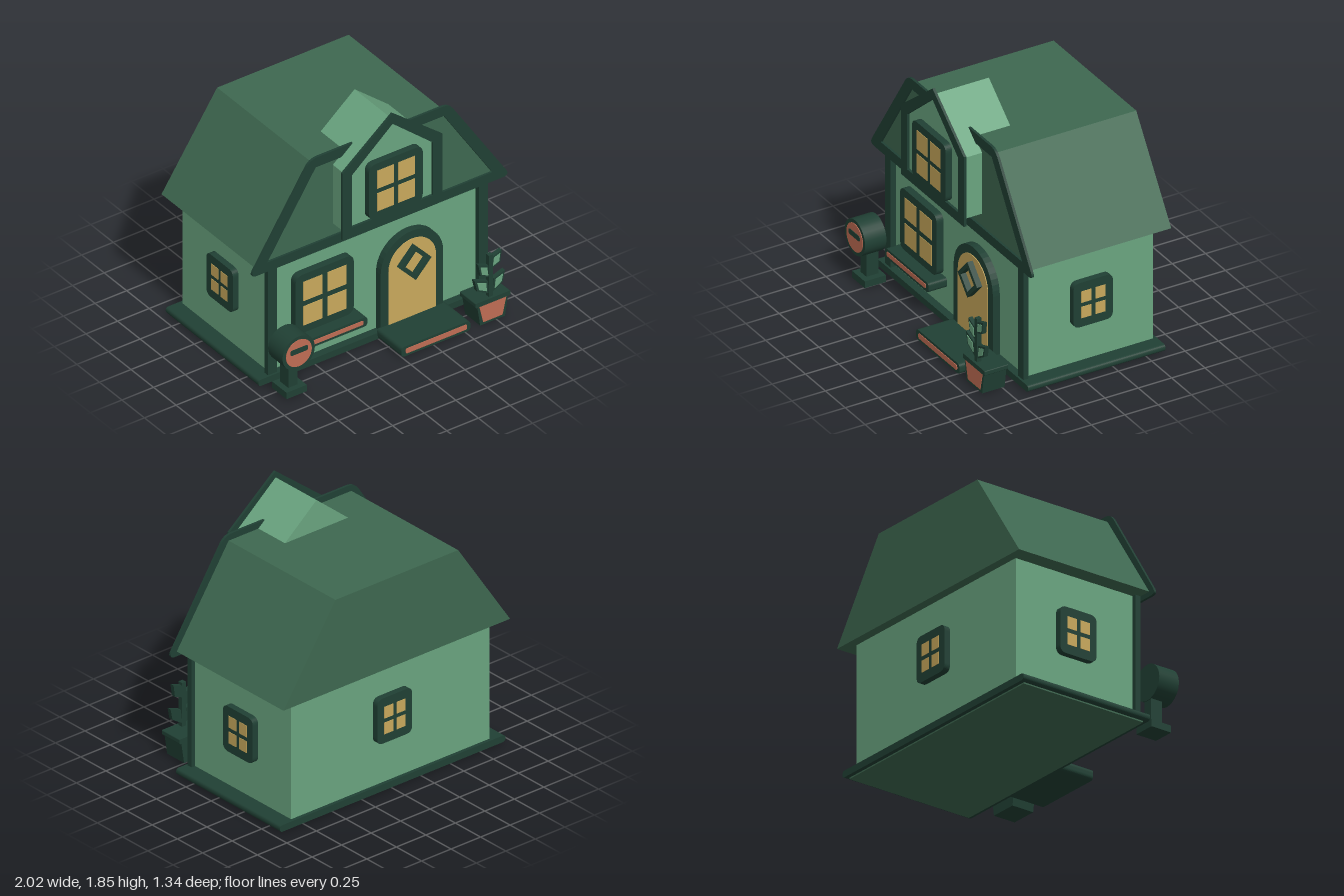
import * as THREE from 'three';

const mat = (name, color) => {
  const m = new THREE.MeshStandardMaterial({ color });
  m.name = name;
  return m;
};

export function createModel() {
  const wall = mat('wall green', 0x6aa580);
  const roofGreen = mat('roof green', 0x3e6850);
  const trim = mat('dark trim green', 0x204034);
  const glow = mat('warm yellow', 0xc9a95c);
  const clay = mat('clay red', 0xc06d54);

  const house = new THREE.Group();
  house.name = 'cottage';

  const add = (name, geometry, material, parent = house) => {
    const mesh = new THREE.Mesh(geometry, material);
    mesh.name = name;
    parent.add(mesh);
    return mesh;
  };
  // Box given by its limits on each axis
  const box = (name, x0, x1, y0, y1, z0, z1, material, parent) =>
    add(name, new THREE.BoxGeometry(x1 - x0, y1 - y0, z1 - z0)
      .translate((x0 + x1) / 2, (y0 + y1) / 2, (z0 + z1) / 2), material, parent);
  // Outline pushed from z0 to z1
  const slab = (name, shape, z0, z1, material, parent) =>
    add(name, new THREE.ExtrudeGeometry(shape, { depth: z1 - z0, bevelEnabled: false, curveSegments: 10 })
      .translate(0, 0, z0), material, parent);
  // Closed polygon whose corners are cut back by r and rounded
  const poly = (points, r = 0) => {
    const s = new THREE.Shape();
    const p = points.map(([x, y]) => new THREE.Vector2(x, y));
    p.forEach((c, i) => {
      const toward = (q) => c.clone().add(q.clone().sub(c).setLength(r));
      const a = r ? toward(p[(i + p.length - 1) % p.length]) : c;
      if (i) s.lineTo(a.x, a.y); else s.moveTo(a.x, a.y);
      if (r) {
        const b = toward(p[(i + 1) % p.length]);
        s.quadraticCurveTo(c.x, c.y, b.x, b.y);
      }
    });
    s.closePath();
    return s;
  };
  const rect = (x0, x1, y0, y1, r) => poly([[x0, y0], [x1, y0], [x1, y1], [x0, y1]], r);
  const trapezoid = (bottom, top, y0, y1) => [[-bottom, y0], [bottom, y0], [top, y1], [-top, y1]];
  const gable = (w, y0, eaves, apex) => [[-w, y0], [w, y0], [w, eaves], [0, apex], [-w, eaves]];
  const framed = (outer, inner) => {
    outer.holes.push(inner);
    return outer;
  };

  // Foundation, base and walls
  box('foundation', -0.92, 0.92, 0, 0.02, -0.6, 0.37, roofGreen);
  slab('base', rect(-0.955, 0.955, 0.01, 0.058, 0.024), -0.63, 0.4, trim);
  box('walls', -0.84, 0.84, 0.05, 0.925, -0.605, 0.345, wall);
  for (const s of [-1, 1]) {
    box('cornerPost', s * 0.835 - 0.035, s * 0.835 + 0.035, 0.05, 0.92, 0.345, 0.385, trim);
  }

  // Main roof with front trim
  slab('roof', poly(trapezoid(0.96, 0.52, 0.92, 1.577)), -0.67, 0.39, roofGreen);
  slab('roofTrim', framed(poly(trapezoid(1.03, 0.55, 0.885, 1.622), 0.06),
    poly(trapezoid(0.89, 0.507, 0.957, 1.547))), 0.388, 0.406, trim);

  // Dormer
  slab('dormer', poly(gable(0.36, 1.045, 1.5, 1.8)), 0.125, 0.53, wall);
  slab('dormerTrim', framed(poly(gable(0.395, 1.01, 1.53, 1.845)),
    poly(gable(0.32, 1.083, 1.492, 1.765))), 0.53, 0.548, trim);

  // Four-pane window facing +z, back on z = 0
  const makeWindow = (name, w, h, paneW, paneH, bar, depth, r = 0.06) => {
    const g = new THREE.Group();
    g.name = name;
    slab('windowFrame', rect(-w / 2, w / 2, -h / 2, h / 2, r), 0, depth, trim, g);
    for (const sx of [-1, 1]) for (const sy of [-1, 1]) {
      const x = sx * (paneW + bar) / 2, y = sy * (paneH + bar) / 2;
      box('windowPane', x - paneW / 2, x + paneW / 2, y - paneH / 2, y + paneH / 2,
        depth - 0.003, depth + 0.003, glow, g);
    }
    house.add(g);
    return g;
  };
  makeWindow('frontWindow', 0.46, 0.455, 0.15, 0.15, 0.04, 0.053).position.set(-0.43, 0.517, 0.345);
  makeWindow('dormerWindow', 0.425, 0.43, 0.132, 0.14, 0.035, 0.048).position.set(0.005, 1.315, 0.53);
  makeWindow('backWindow', 0.295, 0.33, 0.075, 0.085, 0.03, 0.045, 0.05).position.set(0, 0.535, -0.605);
  house.getObjectByName('backWindow').rotation.y = Math.PI;
  for (const s of [-1, 1]) {
    const side = makeWindow('sideWindow', 0.295, 0.33, 0.075, 0.085, 0.03, 0.045, 0.05);
    side.position.set(s * 0.84, 0.5, -0.13);
    side.rotation.y = s * Math.PI / 2;
  }

  // Window sill
  slab('windowSill', rect(-0.7, -0.155, 0.22, 0.29, 0.025), 0.345, 0.485, trim);
  slab('sillPanel', rect(-0.678, -0.187, 0.24, 0.272, 0.012), 0.482, 0.489, clay);

  // Arched door with diamond light
  const arch = (cx, r, y0, spring) => {
    const s = new THREE.Shape();
    s.moveTo(cx - r, y0);
    s.lineTo(cx + r, y0);
    s.absarc(cx, spring, r, 0, Math.PI, false);
    s.closePath();
    return s;
  };
  const diamond = (r) => poly([[0.26, 0.517 - r], [0.26 + r * 0.93, 0.517], [0.26, 0.517 + r], [0.26 - r * 0.93, 0.517]]);
  slab('doorFrame', arch(0.26, 0.247, 0.055, 0.498), 0.345, 0.397, trim);
  slab('door', arch(0.26, 0.187, 0.06, 0.498), 0.394, 0.402, glow);
  slab('doorDiamond', framed(diamond(0.132), diamond(0.09)), 0.4, 0.442, trim);

  // Doorstep
  slab('doorstep', rect(-0.013, 0.533, 0.01, 0.086, 0.03), 0.39, 0.663, trim);
  slab('doorstepPanel', rect(0.02, 0.505, 0.03, 0.068, 0.015), 0.66, 0.667, clay);

  // Round mailbox on a post
  const mailbox = new THREE.Group();
  mailbox.name = 'mailbox';
  house.add(mailbox);
  const drum = (name, r, z0, z1, material) =>
    add(name, new THREE.CylinderGeometry(r, r, z1 - z0, 28).rotateX(Math.PI / 2)
      .translate(-0.812, 0.355, (z0 + z1) / 2), material, mailbox);
  box('mailboxFoot', -0.89, -0.73, 0.01, 0.06, 0.46, 0.62, trim, mailbox);
  box('mailboxPost', -0.848, -0.776, 0.05, 0.26, 0.49, 0.58, trim, mailbox);
  drum('mailboxBody', 0.128, 0.485, 0.645, trim);
  drum('mailboxFace', 0.102, 0.642, 0.649, clay);
  slab('mailSlot', rect(-0.88, -0.743, 0.357, 0.396, 0.015), 0.647, 0.653, trim, mailbox);

  // Potted plant
  const plant = new THREE.Group();
  plant.name = 'pottedPlant';
  house.add(plant);
  const tapered = (bottom, top, y0, y1) => poly(trapezoid(bottom, top, y0, y1).map(([x, y]) => [x + 0.712, y]));
  slab('pot', tapered(0.098, 0.122, 0.01, 0.165), 0.49, 0.658, trim, plant);
  slab('potRim', rect(0.575, 0.85, 0.16, 0.195, 0.008), 0.487, 0.663, trim, plant);
  slab('potPanel', tapered(0.076, 0.106, 0.03, 0.16), 0.655, 0.662, clay, plant);
  box('plantStem', 0.692, 0.724, 0.19, 0.515, 0.61, 0.645, trim, plant);
  const leaves = [
    [[0.58, 0.36], [0.6, 0.273], [0.695, 0.222], [0.685, 0.322]],
    [[0.61, 0.472], [0.627, 0.38], [0.702, 0.343], [0.69, 0.44]],
    [[0.795, 0.522], [0.722, 0.495], [0.71, 0.405], [0.783, 0.434]],
    [[0.82, 0.355], [0.733, 0.322], [0.722, 0.222], [0.804, 0.273]],
  ];
  for (const leaf of leaves) {
    const mid = [0, 1].map((k) => leaf.reduce((sum, p) => sum + p[k] / 4, 0));
    const inset = leaf.map((p) => p.map((v, k) => mid[k] + (v - mid[k]) * 0.66));
    slab('leaf', poly(leaf), 0.612, 0.643, trim, plant);
    slab('leafFill', poly(inset), 0.641, 0.647, wall, plant);
  }

  return house;
}
